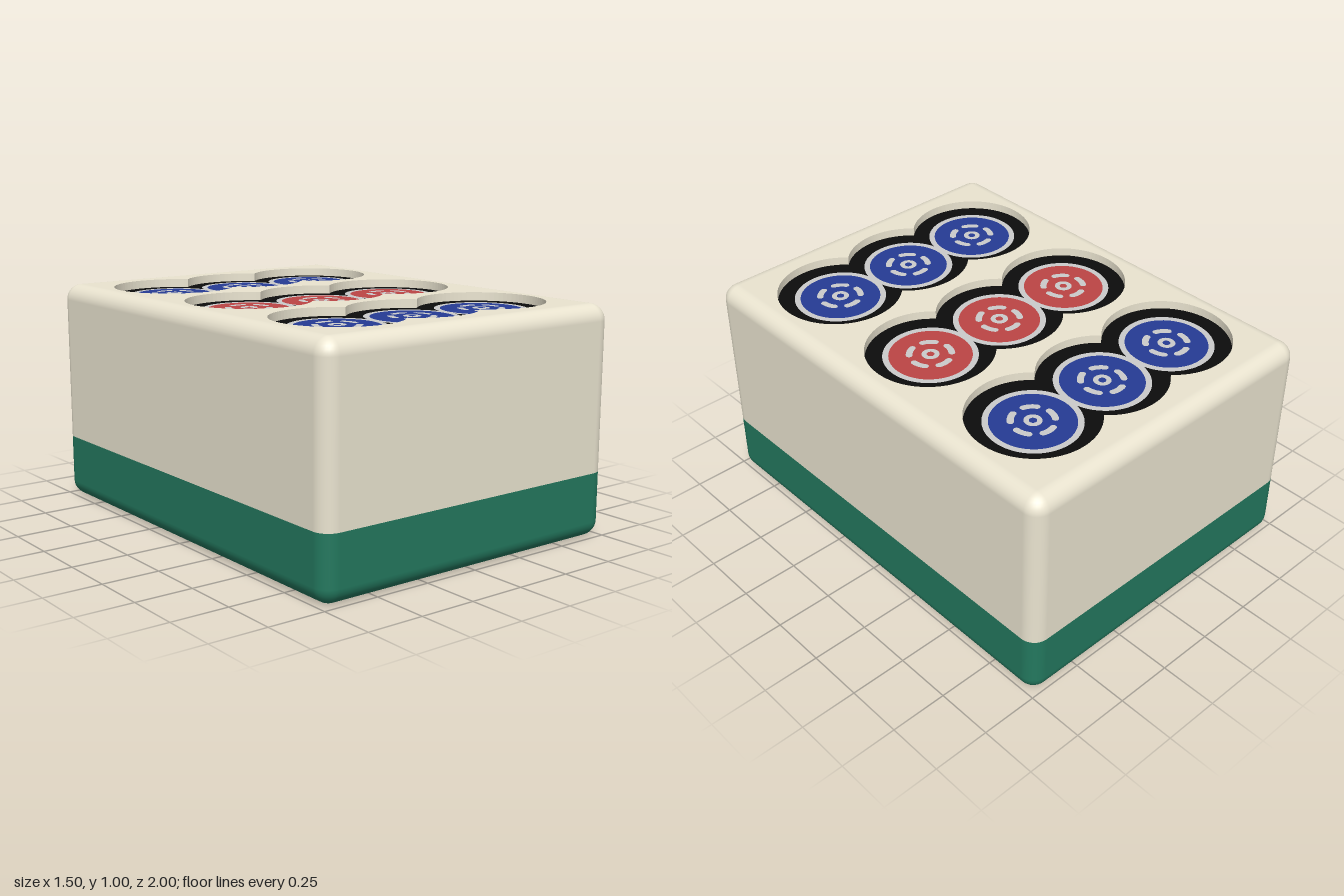
import * as THREE from 'three';

const W = 0.75, D = 1, H = 1, R = 0.07;      // half width, half depth, height, edge radius
const SEAM = 0.285, DEPTH = 0.037;           // colour seam height, pocket depth
const STEP = 0.384, ROW = 0.603, POCKET = 0.27;
const mat = (color) => new THREE.MeshStandardMaterial({ color });

function add(parent, name, geometry, material, y = 0) {
  const mesh = new THREE.Mesh(geometry, material);
  mesh.name = name;
  mesh.position.y = y;
  parent.add(mesh);
  return mesh;
}

const flat = (geometry) => geometry.rotateX(-Math.PI / 2);

// Rounded-rectangle rings stacked along a rising profile of [offset, y, outward normal, up normal]
function shell(profile) {
  const pos = [], nor = [], idx = [], N = 8, count = 4 * (N + 1);
  for (const [rho, y, no, nu] of profile) {
    for (let c = 0; c < 4; c++) {
      const sx = c === 0 || c === 3 ? 1 : -1, sz = c < 2 ? 1 : -1;
      for (let i = 0; i <= N; i++) {
        const t = (c + i / N) * Math.PI / 2, ct = Math.cos(t), st = Math.sin(t);
        pos.push(sx * (W - R) + rho * ct, y, sz * (D - R) + rho * st);
        nor.push(no * ct, nu, no * st);
      }
    }
  }
  for (let i = 0; i < profile.length - 1; i++) {
    for (let j = 0; j < count; j++) {
      const k = (j + 1) % count, a = i * count + j, b = i * count + k;
      idx.push(a, a + count, b, b, a + count, b + count);
    }
  }
  const g = new THREE.BufferGeometry();
  g.setAttribute('position', new THREE.Float32BufferAttribute(pos, 3));
  g.setAttribute('normal', new THREE.Float32BufferAttribute(nor, 3));
  g.setIndex(idx);
  return g;
}

// Quarter-round edge profile from angle a0 to a0 + 90 degrees
function fillet(cy, a0) {
  return Array.from({ length: 9 }, (_, i) => {
    const a = a0 + (i / 8) * Math.PI / 2, c = Math.cos(a), s = Math.sin(a);
    return [R * c, cy + R * s, c, s];
  });
}

function coreRectangle() {
  const w = W - R, d = D - R;
  return new THREE.Shape([[-w, -d], [w, -d], [w, d], [-w, d]].map(([x, y]) => new THREE.Vector2(x, y)));
}

// Outline of three overlapping circles in a row
function pocketOutline(y) {
  const a = Math.acos(STEP / 2 / POCKET), P = Math.PI;
  const s = new THREE.Shape();
  s.absarc(-STEP, y, POCKET, a, 2 * P - a);
  s.absarc(0, y, POCKET, P + a, 2 * P - a);
  s.absarc(STEP, y, POCKET, -P + a, P - a);
  s.absarc(0, y, POCKET, a, P - a);
  return s;
}

// Curved dash with round ends
function dashShape(angle) {
  const r = 0.0875, h = 0.014, half = 0.31, a0 = angle - half, a1 = angle + half;
  const s = new THREE.Shape();
  s.absarc(0, 0, r + h, a0, a1);
  s.absarc(r * Math.cos(a1), r * Math.sin(a1), h, a1, a1 + Math.PI);
  s.absarc(0, 0, r - h, a1, a0, true);
  s.absarc(r * Math.cos(a0), r * Math.sin(a0), h, a0 + Math.PI, a0 + 2 * Math.PI);
  return s;
}

export function createModel() {
  const model = new THREE.Group();
  model.name = 'gameTile';
  const ivory = mat(0xeae4d0), green = mat(0x23785e), black = mat(0x0c0c0c);
  const grey = mat(0xcccccc), blue = mat(0x253b94), red = mat(0xbc4545);

  // Two-coloured body
  add(model, 'greenBase', shell([...fillet(R, -Math.PI / 2), [R, SEAM, 1, 0]]), green);
  add(model, 'baseUnderside', new THREE.ShapeGeometry(coreRectangle()).rotateX(Math.PI / 2), green);
  add(model, 'ivoryBody', shell([[R, SEAM, 1, 0], ...fillet(H - R, 0)]), ivory);

  // Top plate pierced by the three pockets
  const rows = [-ROW, 0, ROW];
  const plate = coreRectangle();
  plate.holes = rows.map(pocketOutline);
  add(model, 'ivoryTop',
    flat(new THREE.ExtrudeGeometry(plate, { depth: DEPTH, bevelEnabled: false, curveSegments: 32 })),
    ivory, H - DEPTH);

  // Disc decoration shared by every pocket
  const rim = flat(new THREE.RingGeometry(0.173, 0.198, 64));
  const face = flat(new THREE.CircleGeometry(0.173, 64));
  const hub = flat(new THREE.RingGeometry(0.016, 0.037, 32));
  const dashes = flat(new THREE.ShapeGeometry(
    [0, 1, 2, 3, 4].map((i) => dashShape(Math.PI / 2 + i * Math.PI * 0.4)), 10));

  for (const z of rows) {
    add(model, 'pocketFloor', flat(new THREE.ShapeGeometry(pocketOutline(-z), 32)), black, H - DEPTH);
    for (const x of [-STEP, 0, STEP]) {
      const disc = new THREE.Group();
      disc.name = 'disc';
      disc.position.set(x, H - DEPTH + 0.003, z);
      add(disc, 'discRim', rim, grey);
      add(disc, 'discFace', face, z === 0 ? red : blue);
      add(disc, 'discHub', hub, grey, 0.003);
      add(disc, 'discDashes', dashes, grey, 0.003);
      model.add(disc);
    }
  }
  return model;
}
